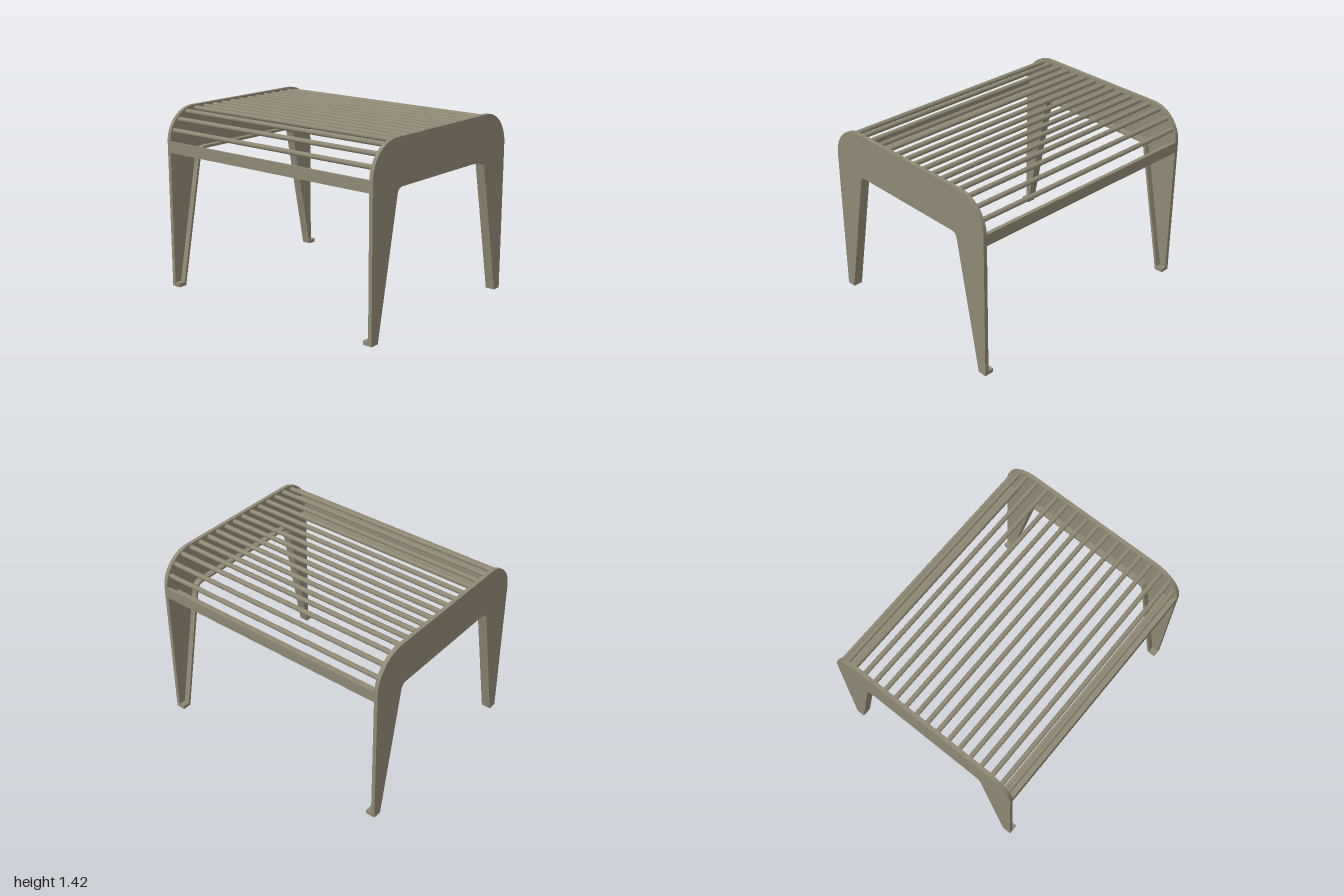
import * as THREE from 'three';
import { toCreasedNormals } from 'three/addons/utils/BufferGeometryUtils.js';

const PLATE = 0.03;      // side plate thickness
const FLANGE_IN = 0.925; // inner x of the stiffening flange
const TOP = 1.42, HALF = 0.81, ROUND = 0.26;

// Follows the underside arch from the +z foot to the -z foot, offset into the plate by t.
function archPath(shape, t) {
  const foot = 0.74 + t, knee = 0.538 + t, y = 1.07 + t;
  shape.lineTo(foot, 0);
  shape.lineTo(knee, 1.02);
  shape.quadraticCurveTo(0.53 + t, y, 0.48, y);
  shape.lineTo(-0.48, y);
  shape.quadraticCurveTo(-0.53 - t, y, -knee, 1.02);
  shape.lineTo(-foot, 0);
}

function plateShape() {
  const s = new THREE.Shape();
  s.moveTo(HALF, 0);
  archPath(s, 0);
  s.lineTo(-HALF, 0);
  s.lineTo(-HALF, TOP - ROUND);
  s.absarc(-HALF + ROUND, TOP - ROUND, ROUND, Math.PI, Math.PI / 2, true);
  s.absarc(HALF - ROUND, TOP - ROUND, ROUND, Math.PI / 2, 0, true);
  s.closePath();
  return s;
}

function flangeShape() {
  const outer = new THREE.Shape(), inner = new THREE.Shape();
  outer.moveTo(0.76, 0);
  archPath(outer, 0.02);
  inner.moveTo(0.74, 0);
  archPath(inner, 0);
  return new THREE.Shape([...outer.getPoints(10), ...inner.getPoints(10).reverse()]);
}

// Extrudes a z-y outline along x, from x0 to x1.
function extrudeX(shape, x0, x1) {
  const g = new THREE.ExtrudeGeometry(shape, { depth: x1 - x0, bevelEnabled: false, curveSegments: 16 });
  g.rotateY(-Math.PI / 2);
  g.translate(x1, 0, 0);
  return toCreasedNormals(g, 0.5);
}

// Rod centre at distance s from the middle, along the top and round the shoulder.
function rodPosition(s) {
  const flat = HALF - ROUND, r = ROUND - 0.028;
  if (s <= flat) return [s, TOP - 0.028];
  const a = (s - flat) / r;
  return [flat + r * Math.sin(a), TOP - ROUND + r * Math.cos(a)];
}

export function createModel() {
  const model = new THREE.Group();
  model.name = 'slattedBench';
  const metal = new THREE.MeshStandardMaterial({ color: 0x8f8873 });
  metal.name = 'warm grey metal';

  const add = (name, geometry, parent = model) => {
    const mesh = new THREE.Mesh(geometry, metal);
    mesh.name = name;
    parent.add(mesh);
    return mesh;
  };

  // Side frames: plate, arch flange and foot pads
  for (const [name, side] of [['leftFrame', 1], ['rightFrame', -1]]) {
    const frame = new THREE.Group();
    frame.name = name;
    model.add(frame);
    const span = (a, b) => (side > 0 ? [a, b] : [-b, -a]);
    add('sidePlate', extrudeX(plateShape(), ...span(1 - PLATE, 1)), frame);
    add('archFlange', extrudeX(flangeShape(), ...span(FLANGE_IN, 1 - PLATE)), frame);
    for (const end of [1, -1]) {
      const w = 1 - PLATE - FLANGE_IN;
      const pad = add('footPad', new THREE.BoxGeometry(w, 0.03, 0.07), frame);
      pad.position.set(side * (FLANGE_IN + w / 2), 0.015, end * 0.775);
    }
  }

  // Angle-section rails across the front and back
  const length = 2 * (1 - PLATE);
  for (const [name, end] of [['frontRail', 1], ['backRail', -1]]) {
    const rail = new THREE.Group();
    rail.name = name;
    model.add(rail);
    add('railFace', new THREE.BoxGeometry(length, 0.087, 0.02), rail).position.set(0, 1.1215, end * 0.8);
    add('railLip', new THREE.BoxGeometry(length, 0.02, 0.09), rail).position.set(0, 1.088, end * 0.745);
  }

  // Round seat rods
  const rod = new THREE.CylinderGeometry(0.0185, 0.0185, length, 16);
  rod.rotateZ(Math.PI / 2);
  for (const [end, start] of [[1, 0.045], [-1, 0.052]]) {
    for (let i = 0; i < 9; i++) {
      const [z, y] = rodPosition(start + i * (end > 0 ? 0.0975 : 0.0955));
      add('seatRod', rod).position.set(0, y, end * z);
    }
  }
  return model;
}
